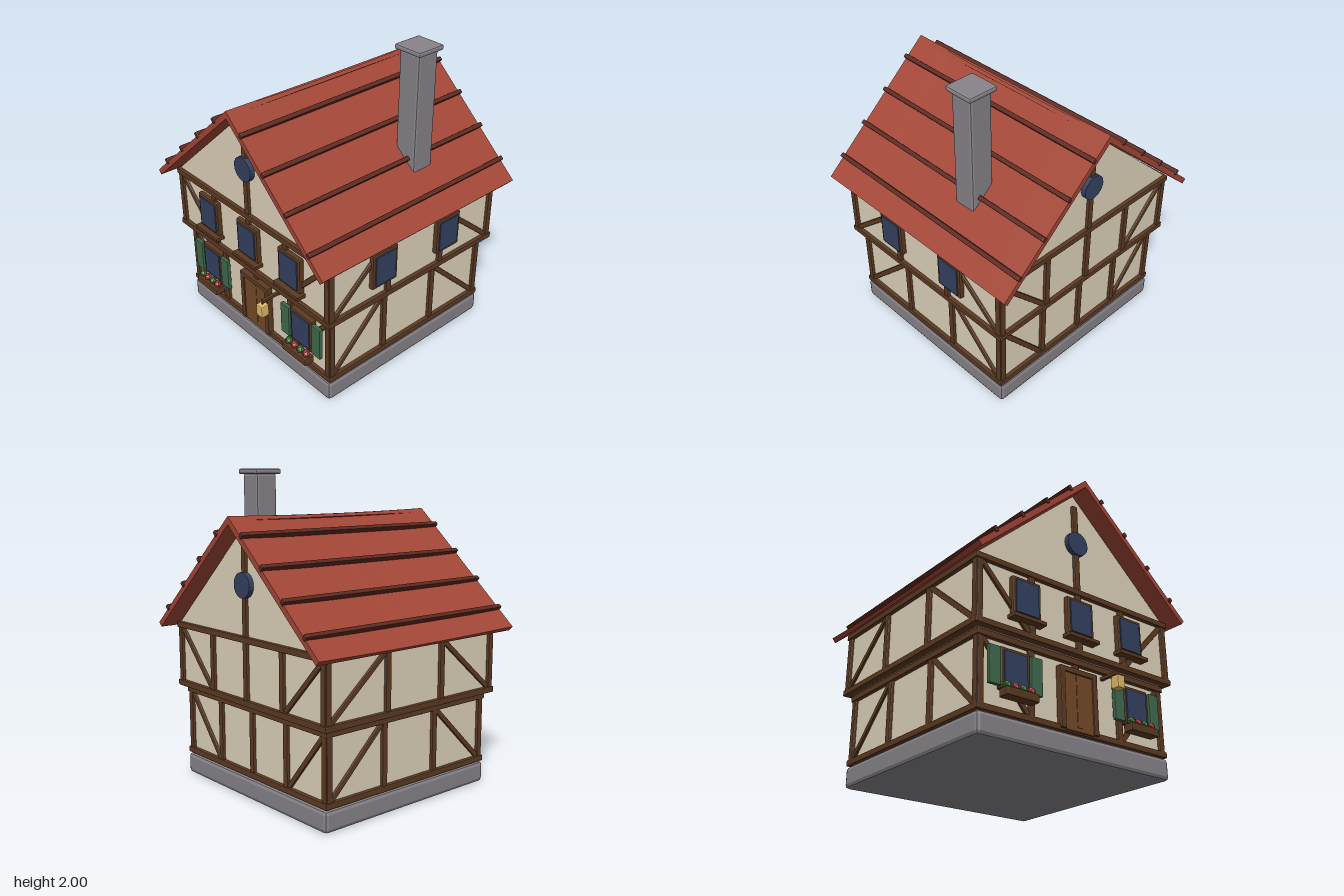
import * as THREE from 'three';
import { RoundedBoxGeometry } from 'three/addons/geometries/RoundedBoxGeometry.js';

const mat = (color) => new THREE.MeshStandardMaterial({ color, flatShading: true });
const M = {
  plaster: mat(0xdfd3bb), timber: mat(0x5c3a22), roof: mat(0xa34636), batten: mat(0x5e281e),
  stone: mat(0x88848a), glass: mat(0x344160), door: mat(0x744a28), shutter: mat(0x3f6b4c),
  lantern: mat(0xe0ba68), red: mat(0xb8403f), green: mat(0x3f7a35),
};

function add(parent, name, geometry, material, x = 0, y = 0, z = 0) {
  const mesh = new THREE.Mesh(geometry, material);
  mesh.name = name;
  mesh.position.set(x, y, z);
  parent.add(mesh);
  return mesh;
}

// Box with a small chamfer on every edge
function block(parent, name, material, w, h, d, x, y, z, bevel = Math.min(w, h, d) * 0.15) {
  return add(parent, name, new RoundedBoxGeometry(w, h, d, 1, bevel), material, x, y, z);
}

function group(parent, name, x = 0, y = 0, z = 0, turn = 0) {
  const g = new THREE.Group();
  g.name = name;
  g.position.set(x, y, z);
  g.rotation.y = turn;
  parent.add(g);
  return g;
}

// Timber frame of one wall, facing +z: rails, posts and a diagonal brace in each outer bay
function timberWall(parent, name, turn, half, dist, y0, y1, posts, outerHigh) {
  const g = group(parent, name, 0, 0, 0, turn);
  const t = 0.038;
  for (const y of [y0 + t / 2, y1 - t / 2]) block(g, 'rail', M.timber, half * 2 + 0.05, t, 0.05, 0, y, dist);
  for (const x of [...posts, -half + 0.005, half - 0.005])
    block(g, 'post', M.timber, 0.04, y1 - y0 - t, 0.04, x, (y0 + y1) / 2, dist);
  const inner = Math.max(...posts) + 0.02;
  const outer = half - 0.02;
  const low = y0 + t;
  const high = y1 - t;
  for (const s of [-1, 1]) {
    const dx = outer - inner;
    const dy = (high - low) * (outerHigh ? 1 : -1);
    const brace = block(g, 'brace', M.timber, Math.hypot(dx, dy), 0.032, 0.03, s * (inner + outer) / 2, (low + high) / 2, dist);
    brace.rotation.z = s * Math.atan2(dy, dx);
  }
}

// Framed window, centred on its glass and facing +z
function framedWindow(parent, x, y, z, turn, sill) {
  const g = group(parent, 'window', x, y, z, turn);
  block(g, 'windowFrame', M.timber, 0.2, 0.24, 0.05, 0, 0, 0);
  block(g, 'windowGlass', M.glass, 0.16, 0.2, 0.03, 0, 0, 0.018, 0.002);
  if (sill) block(g, 'windowSill', M.timber, 0.23, 0.024, 0.07, 0, -0.132, 0.022);
  return g;
}

export function createModel() {
  const house = new THREE.Group();
  house.name = 'timberFramedHouse';

  // Plinth and the two storeys, the upper one jettied out
  block(house, 'plinth', M.stone, 1.41, 0.135, 1.34, 0, 0.0675, 0, 0.024);
  add(house, 'groundFloorWalls', new THREE.BoxGeometry(1.36, 0.47, 1.28), M.plaster, 0, 0.365, 0);
  add(house, 'upperFloorWalls', new THREE.BoxGeometry(1.44, 0.42, 1.36), M.plaster, 0, 0.81, 0);

  // Gable prism
  const gable = new THREE.Shape([[-0.735, 1.02], [0.735, 1.02], [0, 1.682]].map((p) => new THREE.Vector2(...p)));
  add(house, 'gableWalls', new THREE.ExtrudeGeometry(gable, { depth: 1.36, bevelEnabled: false }), M.plaster, 0, 0, -0.68);

  // Timber framing on all four sides
  for (const turn of [0, Math.PI]) {
    timberWall(house, 'groundFloorTimbers', turn, 0.68, 0.64, 0.14, 0.592, [-0.33, 0, 0.33], true);
    timberWall(house, 'upperFloorTimbers', turn, 0.72, 0.68, 0.598, 1.022, [-0.35, 0, 0.35], true);
    timberWall(house, 'groundFloorSideTimbers', turn + Math.PI / 2, 0.64, 0.68, 0.14, 0.592, [-0.21, 0.21], false);
    timberWall(house, 'upperFloorSideTimbers', turn + Math.PI / 2, 0.68, 0.72, 0.598, 1.022, [-0.225, 0.225], false);

    const g = group(house, 'gableTrim', 0, 0, 0, turn);
    block(g, 'gablePost', M.timber, 0.04, 0.58, 0.04, 0, 1.31, 0.68);
    const pane = add(g, 'roundWindow', new THREE.CylinderGeometry(0.078, 0.078, 0.04, 20), M.glass, 0, 1.33, 0.692);
    pane.rotation.x = Math.PI / 2;
  }

  // Roof slopes: the upper surface sags a little in the middle
  const angle = Math.atan(0.89);
  for (const turn of [0, Math.PI]) {
    const slope = group(group(house, 'roofSide', 0, 1.735, 0, turn), 'roofSlope');
    slope.rotation.z = -angle;
    const panel = new THREE.BoxGeometry(1.078, 0.036, 1.6, 1, 1, 10);
    const p = panel.attributes.position;
    for (let i = 0; i < p.count; i++)
      if (p.getY(i) > 0) p.setY(i, p.getY(i) - 0.014 * (1 - (p.getZ(i) / 0.8) ** 2));
    panel.computeVertexNormals();
    add(slope, 'roofPanel', panel, M.roof, 0.539, -0.018, 0);
    for (const x of [0.13, 0.317, 0.505, 0.692])
      block(slope, 'roofBatten', M.batten, 0.028, 0.036, 1.61, (x - 0.006) / Math.cos(angle), 0.006, 0);
  }

  // Chimney
  block(house, 'chimney', M.stone, 0.155, 0.79, 0.155, 0.48, 1.575, -0.215, 0.015);
  block(house, 'chimneyCap', M.stone, 0.2, 0.034, 0.2, 0.48, 1.983, -0.215, 0.012);

  // Upper windows on the front and the left side
  for (const x of [-0.4, 0, 0.4]) framedWindow(house, x, 0.83, 0.685, 0, true);
  for (const z of [-0.27, 0.27]) framedWindow(house, 0.725, 0.83, z, Math.PI / 2, false);

  // Ground floor windows with shutters and flower boxes
  for (const x of [-0.455, 0.455]) {
    const g = framedWindow(house, x, 0.4, 0.648, 0, false);
    for (const s of [-1, 1]) block(g, 'shutter', M.shutter, 0.077, 0.22, 0.025, s * 0.143, 0, 0.022);
    block(g, 'flowerBox', M.timber, 0.22, 0.05, 0.07, 0, -0.152, 0.055);
    for (let i = 0; i < 4; i++)
      add(g, 'flower', new THREE.IcosahedronGeometry(0.027, 0), i % 2 ? M.red : M.green, -0.08 + i * 0.054, -0.11, 0.055);
  }

  // Door
  const door = group(house, 'door', 0, 0, 0.65);
  block(door, 'doorPanel', M.door, 0.22, 0.35, 0.04, 0, 0.325, 0.002);
  block(door, 'doorPlank', M.door, 0.036, 0.31, 0.01, 0, 0.33, 0.02);
  for (const s of [-1, 1]) block(door, 'doorJamb', M.timber, 0.036, 0.36, 0.06, s * 0.121, 0.335, 0);
  block(door, 'doorLintel', M.timber, 0.28, 0.034, 0.06, 0, 0.506, 0);

  // Lantern hanging from its bracket
  const lamp = group(house, 'hangingLantern', 0.213, 0, 0);
  block(lamp, 'lanternBracket', M.timber, 0.022, 0.02, 0.14, 0, 0.528, 0.705);
  block(lamp, 'lanternHanger', M.timber, 0.01, 0.025, 0.01, 0, 0.512, 0.77);
  block(lamp, 'lantern', M.lantern, 0.058, 0.082, 0.058, 0, 0.466, 0.772);

  return house;
}
